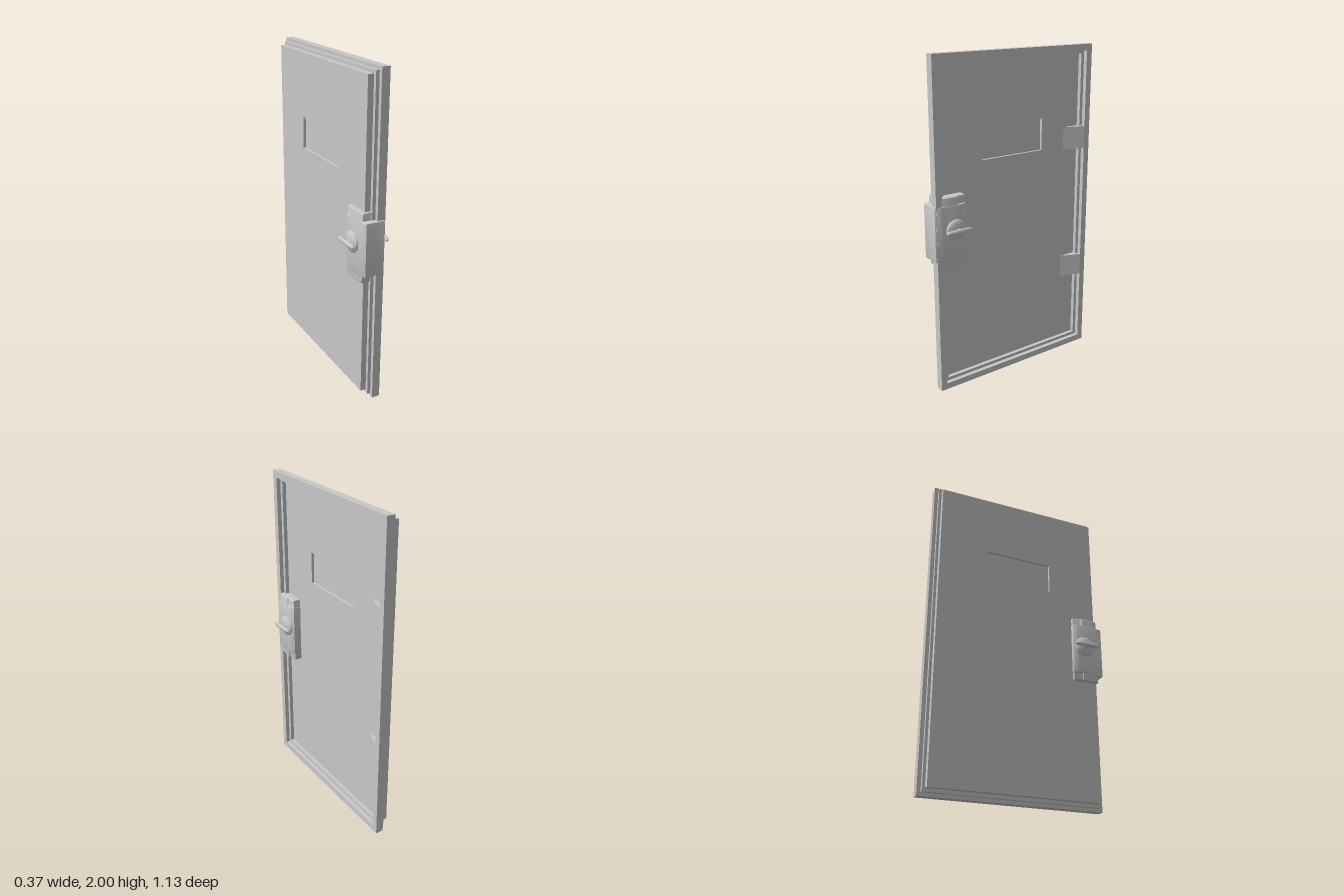
import * as THREE from 'three';
import { toCreasedNormals } from 'three/addons/utils/BufferGeometryUtils.js';

const MID = 0.0225; // middle of the door's thickness

export function createModel() {
  const steel = new THREE.MeshStandardMaterial({ color: 0xc8c8c8 });
  steel.name = 'greySteel';

  // The door is drawn along z, its inner face toward +x, then swung ten degrees
  const door = new THREE.Group();
  door.name = 'door';
  door.rotation.y = THREE.MathUtils.degToRad(-10);

  const add = (parent, name, geometry) => {
    const mesh = new THREE.Mesh(geometry, steel);
    mesh.name = name;
    parent.add(mesh);
    return mesh;
  };

  // Rectangles are [z0, z1, y0, y1], traced counter-clockwise
  const trace = (path, [z0, z1, y0, y1]) => {
    path.moveTo(-z1, y0);
    path.lineTo(-z0, y0);
    path.lineTo(-z0, y1);
    path.lineTo(-z1, y1);
    path.closePath();
    return path;
  };
  const layer = (name, outer, hole, x0, x1) => {
    const shape = trace(new THREE.Shape(), outer);
    if (hole) shape.holes.push(trace(new THREE.Path(), hole));
    const g = new THREE.ExtrudeGeometry(shape, { depth: x1 - x0, bevelEnabled: false });
    g.rotateY(Math.PI / 2).translate(x0, 0, 0);
    add(door, name, g);
  };

  // Stepped slab: rim, inner step, then two panel layers with a window opening
  const edge = [-0.58, 0.553, 0, 2];
  const windowHole = [-0.236, 0.207, 1.375, 1.57];
  layer('outerRim', edge, [-0.541, 0.514, 0.039, 1.961], 0.061, 0.087);
  layer('innerRim', edge, [-0.52, 0.491, 0.059, 1.941], 0.037, 0.061);
  layer('middlePanel', [-0.557, 0.53, 0.02, 1.98], windowHole, 0.0165, 0.037);
  layer('backPanel', [-0.54, 0.51, 0.04, 1.96], windowHole, -0.019, 0.0165);
  layer('windowPane', windowHole, null, -0.003, 0.021);

  // Extrudes an outline of [x, z] points upward from y0 to y1
  const upright = (points, y0, y1, bevel = 0) => {
    const shape = new THREE.Shape(points.map(([x, z]) => new THREE.Vector2(x, -z)));
    const g = new THREE.ExtrudeGeometry(shape, {
      depth: y1 - y0 - 2 * bevel, bevelEnabled: bevel > 0, bevelThickness: bevel,
      bevelSize: bevel, bevelOffset: -bevel, bevelSegments: 3,
    });
    g.rotateX(-Math.PI / 2).translate(0, y0 + bevel, 0);
    return toCreasedNormals(g, 0.6);
  };

  // Hinge wedges rising from the panel to the rim
  for (const y of [0.495, 1.355]) {
    add(door, 'hingeWedge', upright([[0.03, -0.41], [0.037, -0.41], [0.087, -0.541], [0.03, -0.541]], y, y + 0.142));
  }

  // Lock case wrapping the free edge, with narrower ends stepped at the inner corners
  const mirrored = (half) => [
    ...half.map(([x, z]) => [MID + x, z]),
    ...half.slice().reverse().map(([x, z]) => [MID - x, z]),
  ];
  const caseHalf = [[0.058, 0.56], [0.065, 0.55], [0.068, 0.51], [0.072, 0.475], [0.075, 0.44],
    [0.075, 0.39], [0.071, 0.368], [0.062, 0.356]];
  const endHalf = [[0.06, 0.525], [0.066, 0.51], [0.07, 0.475], [0.073, 0.44], [0.073, 0.418],
    [0.066, 0.413], [0.06, 0.358]];
  add(door, 'lockCase', upright(mirrored(caseHalf), 0.832, 1.162, 0.006));
  add(door, 'lockCaseEnds', upright(mirrored(endHalf), 0.785, 1.21, 0.005));

  // Handle: domed rose with a stem, and a bowed, tapering lever
  const roseProfile = [[0.064, 0.06], [0.064, 0.078], [0.06, 0.083], [0.048, 0.089], [0.032, 0.094],
    [0.014, 0.096], [0.012, 0.1], [0.012, 0.115], [0, 0.115]].map(([r, d]) => new THREE.Vector2(r, d));
  const rose = toCreasedNormals(new THREE.LatheGeometry(roseProfile, 32).rotateZ(-Math.PI / 2), 0.7);

  const lever = new THREE.CapsuleGeometry(0.017, 0.138, 6, 16, 12).rotateX(Math.PI / 2);
  const p = lever.attributes.position;
  for (let i = 0; i < p.count; i++) {
    const t = (p.getZ(i) / 0.086) ** 2;
    p.setXYZ(i, 0.116 + p.getX(i) * 0.64 - 0.006 * t, p.getY(i) * (1 - 0.4 * t), p.getZ(i));
  }
  lever.computeVertexNormals();

  for (const [name, turn] of [['innerHandle', 0], ['outerHandle', Math.PI]]) {
    const handle = new THREE.Group();
    handle.name = name;
    handle.position.set(MID, 1.012, 0.431);
    handle.rotation.y = turn;
    add(handle, 'rose', rose);
    add(handle, 'lever', lever);
    door.add(handle);
  }

  const model = new THREE.Group();
  model.name = 'steelDoor';
  model.add(door);
  return model;
}
